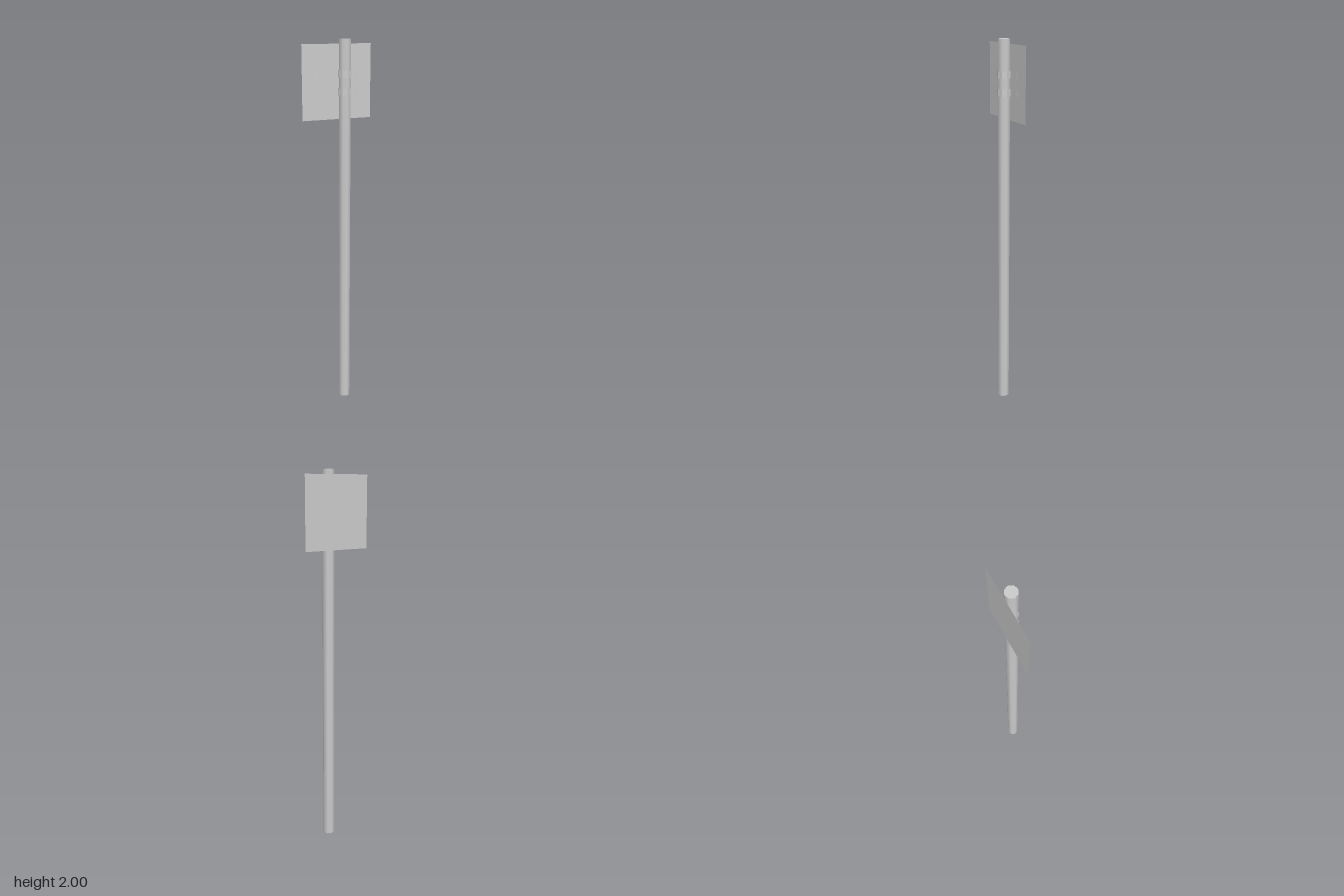
import * as THREE from 'three';

const material = new THREE.MeshStandardMaterial({ color: 0xcccccc });
const sheetMaterial = new THREE.MeshStandardMaterial({ color: 0xcccccc, side: THREE.DoubleSide });

const POLE_X = 0.03;
const POLE_RADIUS = 0.0315;
const STRAP_RADIUS = 0.034;
const SIGN_Z = -0.0335;
const ARM_Z = -0.032;

// Folded metal strip: an x/z profile swept upright, each fold kept sharp
function stripGeometry(profile, height) {
  const positions = [];
  const h = height / 2;
  for (let i = 0; i < profile.length - 1; i++) {
    const [ax, az] = profile[i];
    const [bx, bz] = profile[i + 1];
    positions.push(ax, -h, az, bx, -h, bz, bx, h, bz);
    positions.push(ax, -h, az, bx, h, bz, ax, h, az);
  }
  const geometry = new THREE.BufferGeometry();
  geometry.setAttribute('position', new THREE.Float32BufferAttribute(positions, 3));
  geometry.computeVertexNormals();
  return geometry;
}

// Flat arms with end tabs bent to the panel, and a loop around the pole
function clampProfile() {
  const points = [[-0.122, SIGN_Z + 0.0003], [-0.103, ARM_Z], [POLE_X - 0.016, ARM_Z]];
  for (let i = -3; i <= 3; i++) {
    const angle = i * Math.PI / 4;
    points.push([POLE_X + STRAP_RADIUS * Math.sin(angle), STRAP_RADIUS * Math.cos(angle)]);
  }
  points.push([POLE_X + 0.016, ARM_Z], [0.097, ARM_Z], [0.115, SIGN_Z + 0.0003]);
  return points;
}

export function createModel() {
  const model = new THREE.Group();
  model.name = 'signPost';

  // Eight-sided pole, standing a little off the panel's centre
  const pole = new THREE.Mesh(new THREE.CylinderGeometry(POLE_RADIUS, POLE_RADIUS, 2, 8), material);
  pole.name = 'pole';
  pole.position.set(POLE_X, 1, 0);
  model.add(pole);

  // Thin square panel behind the pole
  const panel = new THREE.Mesh(new THREE.PlaneGeometry(0.38, 0.376), sheetMaterial);
  panel.name = 'signPanel';
  panel.position.set(0, 1.787, SIGN_Z);
  model.add(panel);

  // Two clamps holding the panel to the pole
  const clampGeometry = stripGeometry(clampProfile(), 0.036);
  [['upperClamp', 1.828], ['lowerClamp', 1.741]].forEach(([name, y]) => {
    const clamp = new THREE.Mesh(clampGeometry, sheetMaterial);
    clamp.name = name;
    clamp.position.y = y;
    model.add(clamp);
  });

  return model;
}
